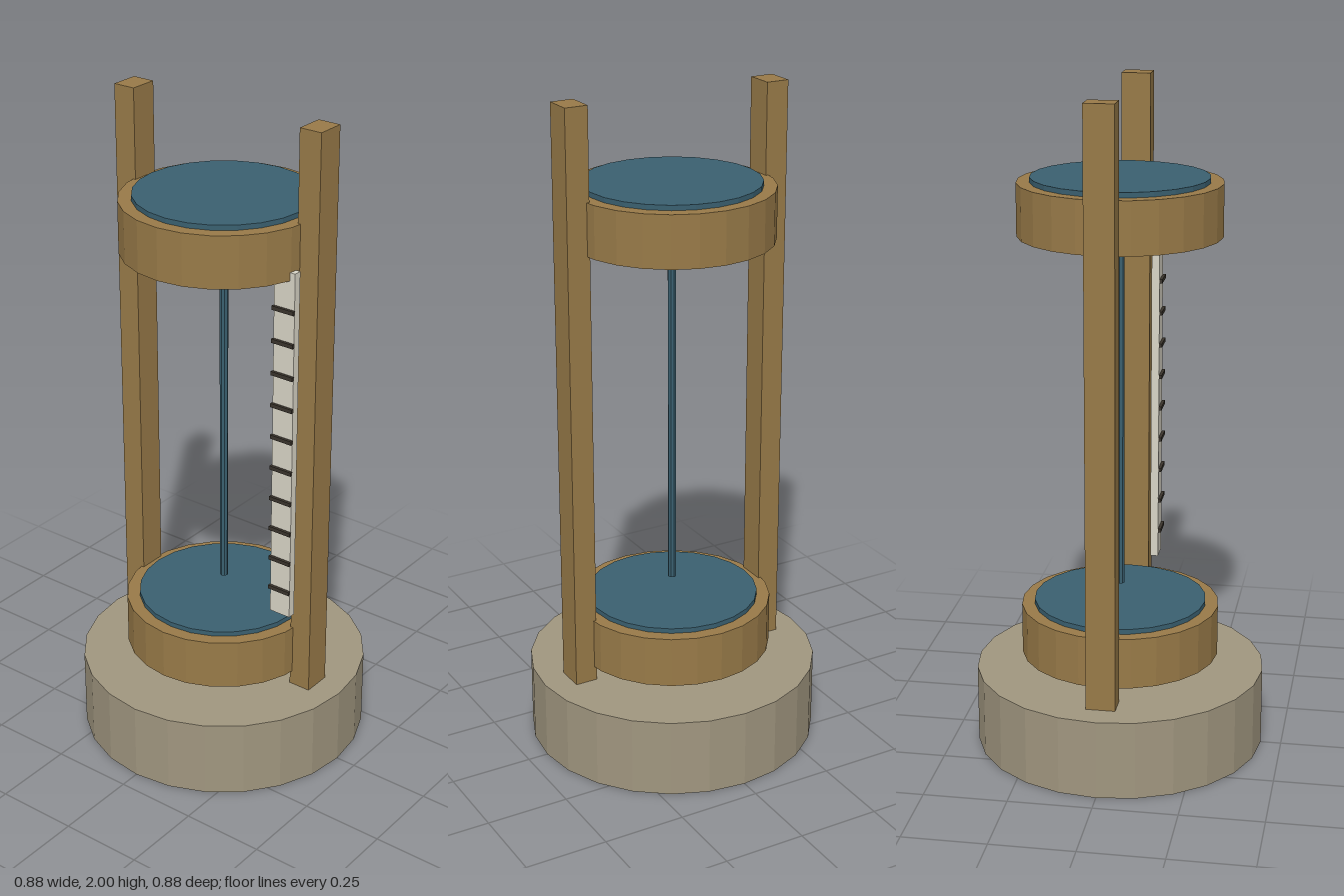
import * as THREE from 'three';

const material = (color) => {
  const m = new THREE.MeshStandardMaterial({ flatShading: true });
  m.color.setHex(color);
  return m;
};

export function createModel() {
  const model = new THREE.Group();
  model.name = 'waterClock';
  const stone = material(0xa0967f);
  const wood = material(0x987a48);
  const water = material(0x3a6070);
  const ivory = material(0xd8d4c6);
  const ink = material(0x3a342c);

  const add = (name, geometry, mat, x, y, z) => {
    const mesh = new THREE.Mesh(geometry, mat);
    mesh.name = name;
    mesh.position.set(x, y, z);
    model.add(mesh);
  };
  // Upright cylinder between two heights
  const drum = (name, radius, y0, y1, sides, mat) =>
    add(name, new THREE.CylinderGeometry(radius, radius, y1 - y0, sides), mat, 0, (y0 + y1) / 2, 0);

  // Stone base
  drum('base', 0.438, 0, 0.24, 24, stone);

  // Two side posts
  for (const side of [-1, 1]) {
    add(side > 0 ? 'leftPost' : 'rightPost',
      new THREE.BoxGeometry(0.07, 1.76, 0.087), wood, side * 0.32, 1.12, 0);
  }

  // Lower and upper vessels, each with a disc of water standing just proud of the rim
  for (const [name, y] of [['lower', 0.285], ['upper', 1.575]]) {
    drum(name + 'Vessel', 0.299, y, y + 0.155, 24, wood);
    drum(name + 'Water', 0.26, y + 0.145, y + 0.17, 24, water);
  }

  // Falling stream
  drum('stream', 0.0125, 0.5, 1.58, 8, water);

  // Measuring scale with ten marks
  add('scale', new THREE.BoxGeometry(0.07, 1.1, 0.024), ivory, 0.27, 1.05, 0.069);
  for (let i = 0; i < 10; i++) {
    add('scaleMark', new THREE.BoxGeometry(0.074, 0.012, 0.009), ink, 0.27, 0.585 + i * 0.1, 0.0855);
  }
  return model;
}
